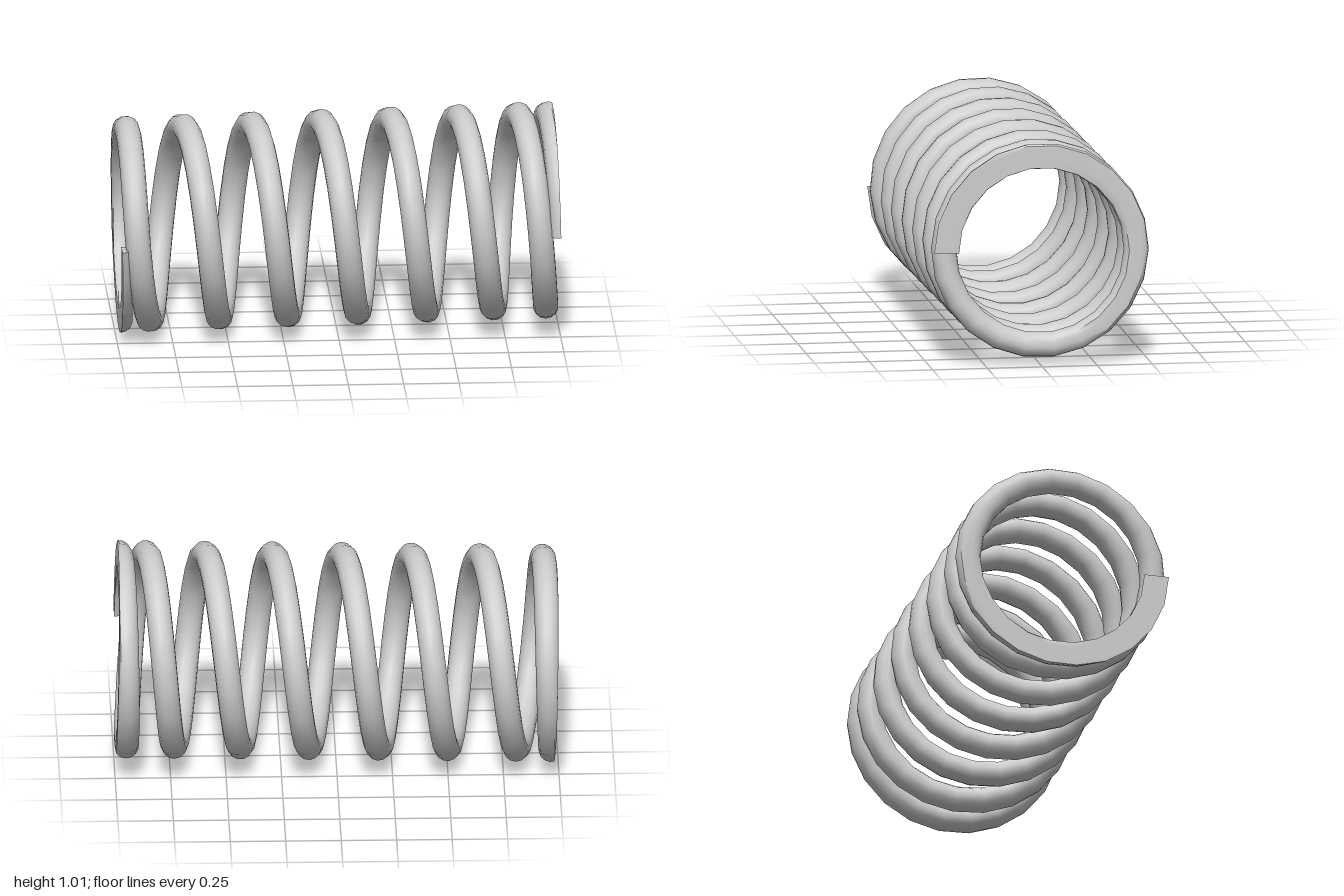
import * as THREE from 'three';
import { toCreasedNormals, mergeVertices } from 'three/addons/utils/BufferGeometryUtils.js';

const TURNS = 8, COIL_RADIUS = 0.435, WIRE_RADIUS = 0.057;
const STEPS = TURNS * 22, SIDES = 14;

// Axial position against quarter turns: closed end coils, even pitch between
const PITCH = [
  [0, -1.01], [1, -0.975], [2, -0.95], [3, -0.94], [4, -0.915], [5, -0.83],
  [9, -0.52], [13, -0.21], [17, 0.105], [21, 0.415], [25, 0.715],
  [26, 0.775], [27, 0.835], [28, 0.90], [29, 0.945], [30, 0.95], [31, 0.965], [32, 1.0],
];

// Cubic interpolation of the pitch table
function axial(q) {
  let i = 0;
  while (i < PITCH.length - 2 && q > PITCH[i + 1][0]) i++;
  const slope = (k) => {
    const a = PITCH[Math.max(k - 1, 0)], b = PITCH[Math.min(k + 1, PITCH.length - 1)];
    return (b[1] - a[1]) / (b[0] - a[0]);
  };
  const [q0, x0] = PITCH[i], [q1, x1] = PITCH[i + 1];
  const h = q1 - q0, s = (q - q0) / h, s2 = s * s, s3 = s2 * s;
  return (2 * s3 - 3 * s2 + 1) * x0 + (s3 - 2 * s2 + s) * h * slope(i)
    + (3 * s2 - 2 * s3) * x1 + (s3 - s2) * h * slope(i + 1);
}

// Centre line of the wire, on a slightly rising axis
class CoilCurve extends THREE.Curve {
  getPoint(t, target = new THREE.Vector3()) {
    const a = t * TURNS * Math.PI * 2;
    const x = axial(t * TURNS * 4);
    return target.set(x, 0.515 + 0.02 * x - COIL_RADIUS * Math.sin(a), COIL_RADIUS * Math.cos(a));
  }
}

function coilGeometry() {
  const tube = new THREE.TubeGeometry(new CoilCurve(), STEPS, WIRE_RADIUS, SIDES, false);

  // Grind both ends flat
  const pos = tube.attributes.position;
  for (let i = 0; i < pos.count; i++) {
    const y = pos.getY(i);
    pos.setX(i, THREE.MathUtils.clamp(pos.getX(i), -0.98 - 0.02 * y, 1 - 0.02 * y));
  }

  // Close the two cut faces of the wire
  const index = Array.from(tube.index.array);
  const last = STEPS * (SIDES + 1);
  for (let k = 1; k < SIDES - 1; k++) {
    index.push(0, k, k + 1);
    index.push(last, last + k + 1, last + k);
  }
  tube.setIndex(index);
  tube.deleteAttribute('uv');
  tube.deleteAttribute('normal');
  return toCreasedNormals(mergeVertices(tube), 0.8);
}

export function createModel() {
  const group = new THREE.Group();
  group.name = 'compressionSpring';
  const material = new THREE.MeshStandardMaterial({ color: 0xcccccc });
  const coil = new THREE.Mesh(coilGeometry(), material);
  coil.name = 'coil';
  group.add(coil);
  return group;
}
